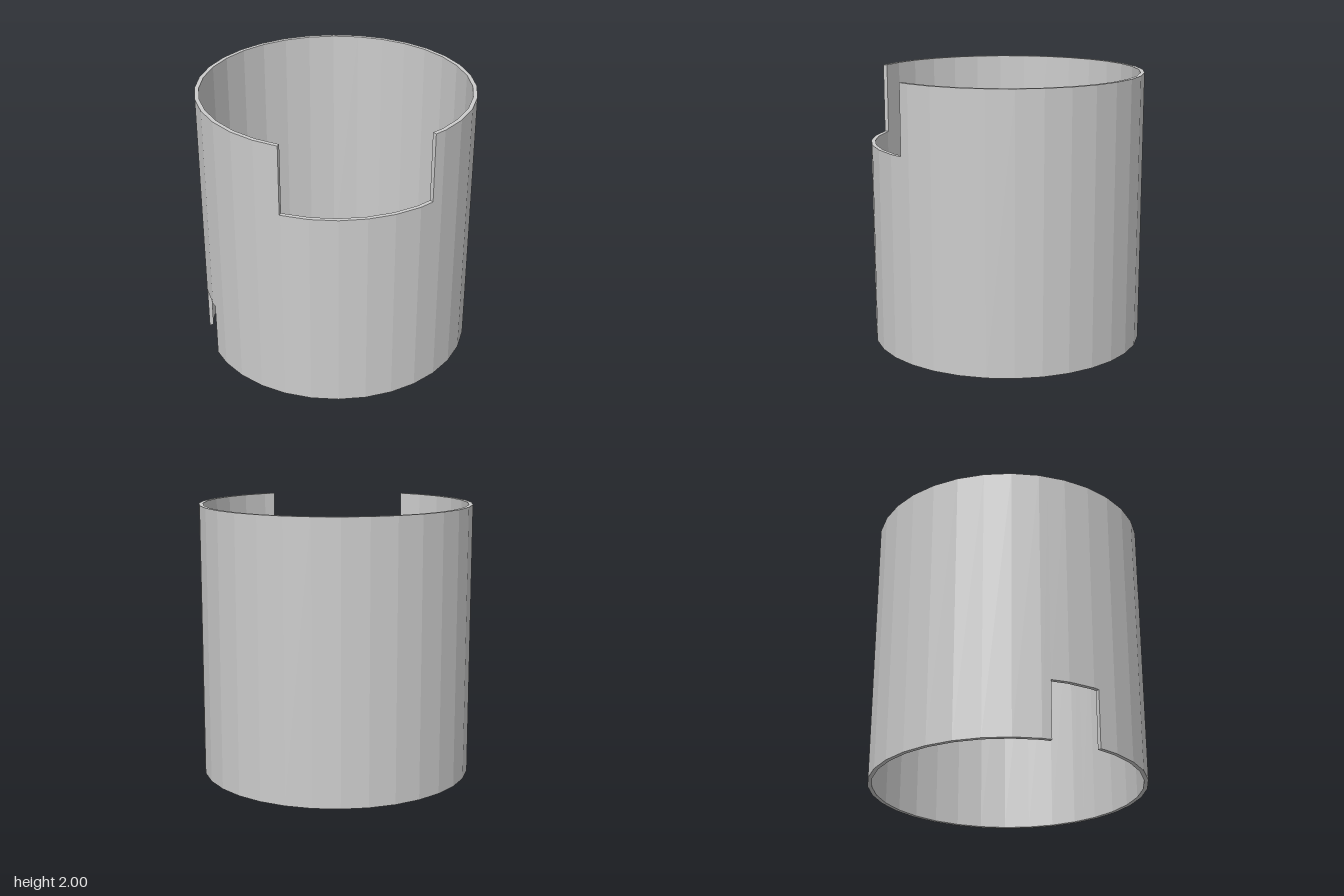
import * as THREE from 'three';

const SIDES = 32, OUTER = 1, INNER = 0.97, HEIGHT = 2;
const STEP = 360 / SIDES;
const rad = THREE.MathUtils.degToRad;

// Notches, in degrees around the wall from +z towards +x (0 to 360)
const topNotch = { from: 291.9, to: 355.1, y: 1.49 };
const bottomNotch = { from: 228.9, to: 249.9, y: 0.42 };

// Point on the flat-sided wall at angle a
function wallPoint(a, radius, y) {
  const offset = rad((a % STEP) - STEP / 2);
  const r = radius * Math.cos(rad(STEP / 2)) / Math.cos(offset);
  return [r * Math.sin(rad(a)), y, r * Math.cos(rad(a))];
}

function notchedTube() {
  const positions = [];
  const quad = (a, b, c, d) => positions.push(...a, ...b, ...c, ...a, ...c, ...d);

  // Facet corners plus the notch edges
  const angles = Array.from({ length: SIDES }, (_, i) => i * STEP);
  for (const n of [topNotch, bottomNotch]) angles.push(n.from, n.to);
  angles.sort((a, b) => a - b);

  // Each segment runs between two angles, with its own bottom and top
  const inside = (n, a) => a > n.from && a < n.to;
  const segments = angles.map((a0, i) => {
    const a1 = i + 1 < angles.length ? angles[i + 1] : 360;
    const mid = (a0 + a1) / 2;
    return {
      a0, a1,
      low: inside(bottomNotch, mid) ? bottomNotch.y : 0,
      high: inside(topNotch, mid) ? topNotch.y : HEIGHT,
    };
  });

  // Radial wall at angle a; facing = 1 looks towards larger angles
  const endWall = (a, y0, y1, facing) => {
    const c = [
      wallPoint(a, OUTER, y0), wallPoint(a, INNER, y0),
      wallPoint(a, INNER, y1), wallPoint(a, OUTER, y1),
    ];
    quad(...(facing > 0 ? c : c.reverse()));
  };

  segments.forEach(({ a0, a1, low, high }, i) => {
    const o = (a, y) => wallPoint(a, OUTER, y);
    const n = (a, y) => wallPoint(a, INNER, y);
    quad(o(a0, low), o(a1, low), o(a1, high), o(a0, high));     // outside
    quad(n(a1, low), n(a0, low), n(a0, high), n(a1, high));     // inside
    quad(o(a0, high), o(a1, high), n(a1, high), n(a0, high));   // upper rim
    quad(o(a1, low), o(a0, low), n(a0, low), n(a1, low));       // lower rim

    // Notch sides, where the height changes
    const prev = segments[(i + segments.length - 1) % segments.length];
    if (prev.high !== high) {
      endWall(a0, Math.min(prev.high, high), Math.max(prev.high, high), prev.high - high);
    }
    if (prev.low !== low) {
      endWall(a0, Math.min(prev.low, low), Math.max(prev.low, low), low - prev.low);
    }
  });

  const geometry = new THREE.BufferGeometry();
  geometry.setAttribute('position', new THREE.Float32BufferAttribute(positions, 3));
  geometry.computeVertexNormals();
  return geometry;
}

export function createModel() {
  const group = new THREE.Group();
  group.name = 'notchedSleeve';
  const material = new THREE.MeshStandardMaterial({ color: 0xcccccc, flatShading: true });
  const tube = new THREE.Mesh(notchedTube(), material);
  tube.name = 'tubeWall';
  group.add(tube);
  return group;
}
